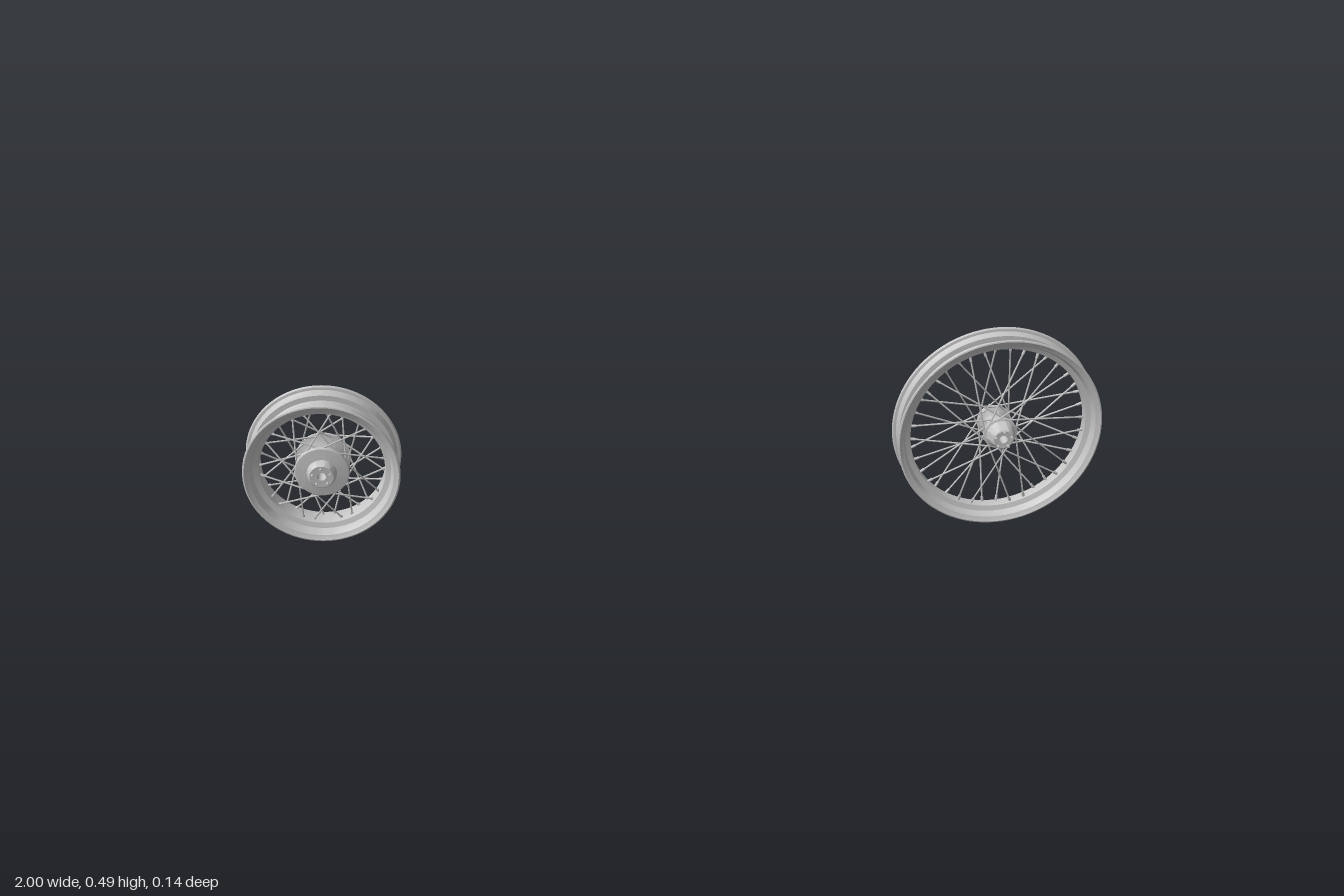
import * as THREE from 'three';
import { toCreasedNormals } from 'three/addons/utils/BufferGeometryUtils.js';

const metal = new THREE.MeshStandardMaterial({ color: 0xc6c6c6 });
metal.name = 'light grey metal';

// Turned part about the z axis; points are [radius, z] with z rising on the outside
function turned(name, points, segments = 96) {
  const g = new THREE.LatheGeometry(points.map(p => new THREE.Vector2(p[0], p[1])), segments);
  g.rotateX(Math.PI / 2);
  const mesh = new THREE.Mesh(toCreasedNormals(g, 0.6), metal);
  mesh.name = name;
  return mesh;
}

// Round bar between two points
function rod(name, a, b, radius, sides = 6) {
  const dir = b.clone().sub(a);
  const mesh = new THREE.Mesh(new THREE.CylinderGeometry(radius, radius, dir.length(), sides), metal);
  mesh.position.copy(a).add(b).multiplyScalar(0.5);
  mesh.quaternion.setFromUnitVectors(new THREE.Vector3(0, 1, 0), dir.normalize());
  mesh.name = name;
  return mesh;
}

const polar = (r, a, z) => new THREE.Vector3(r * Math.cos(a), r * Math.sin(a), z);

// Drop-centre rim with a rolled lip on each edge
function rim(R, w, well) {
  const half = [
    [R - 0.029, well], [R - 0.026, well + 0.003], [R - 0.014, well + 0.004],
    [R - 0.012, w - 0.012], [R - 0.009, w - 0.008], [R - 0.003, w - 0.007],
    [R, w - 0.004], [R - 0.001, w - 0.001], [R - 0.004, w],
    [R - 0.007, w - 0.002], [R - 0.015, w - 0.005], [R - 0.019, w - 0.011],
    [R - 0.022, well + 0.006], [R - 0.034, well + 0.002], [R - 0.036, well - 0.004],
  ];
  const back = half.map(([r, z]) => [r, -z]).reverse();
  return turned('rim', [...back, ...half, back[0]], 128);
}

function wheel(o) {
  const g = new THREE.Group();
  g.add(rim(o.R, o.w, o.well));
  g.add(turned('hub', o.hub, 48));

  // Crossed spokes: two leaning directions on each flange, each with a nipple
  const spokes = new THREE.Group();
  spokes.name = 'spokes';
  const n = 10, step = Math.PI * 2 / n;
  for (const side of [1, -1]) {
    for (const lean of [1, -1]) {
      for (let i = 0; i < n; i++) {
        const end = (i + (side > 0 ? 0 : 0.5) + lean * 0.125) * step;
        const a = polar(o.flange, end + lean * o.sweep, side * (o.flangeZ + lean * 0.003));
        const b = polar(o.R - 0.032, end, side * o.well * 0.5);
        spokes.add(rod('spoke', a, b, 0.0021));
        spokes.add(rod('nipple', b.clone().lerp(a, 0.08), b, 0.0034));
      }
    }
  }
  g.add(spokes);

  // Ring of bolts on both hub ends
  const bolts = new THREE.Group();
  bolts.name = 'hubBolts';
  for (const [z0, z1] of o.bolts) {
    for (let i = 0; i < 5; i++) {
      const a = Math.PI / 2 + i * Math.PI * 2 / 5;
      bolts.add(rod('hubBolt', polar(o.boltR, a, z0), polar(o.boltR, a, z1), 0.003, 8));
    }
  }
  g.add(bolts);
  return g;
}

export function createModel() {
  const model = new THREE.Group();

  // Tall narrow wheel on the left
  const large = wheel({
    R: 0.245, w: 0.038, well: 0.011,
    flange: 0.036, flangeZ: 0.031, sweep: 1.25,
    hub: [
      [0.010, -0.054], [0.010, -0.064], [0.022, -0.065], [0.025, -0.063],
      [0.032, -0.040], [0.034, -0.036], [0.040, -0.034], [0.040, -0.028],
      [0.030, -0.025], [0.022, -0.018], [0.022, 0.018], [0.030, 0.025],
      [0.040, 0.028], [0.040, 0.034], [0.034, 0.036], [0.032, 0.040],
      [0.025, 0.063], [0.022, 0.065], [0.010, 0.064], [0.010, 0.054],
      [0.010, -0.054],
    ],
    boltR: 0.020, bolts: [[0.062, 0.072], [-0.072, -0.062]],
  });
  large.name = 'largeWheel';
  large.position.set(0.755, 0.246, -0.001);

  // Short wide wheel on the right
  const small = wheel({
    R: 0.177, w: 0.053, well: 0.022,
    flange: 0.056, flangeZ: 0.034, sweep: 1.0,
    hub: [
      [0.010, -0.045], [0.010, -0.055], [0.024, -0.056], [0.028, -0.053],
      [0.034, -0.042], [0.060, -0.039], [0.062, -0.037], [0.062, -0.031],
      [0.045, -0.028], [0.030, -0.018], [0.030, 0.018], [0.045, 0.028],
      [0.062, 0.031], [0.062, 0.037], [0.060, 0.039], [0.034, 0.042],
      [0.030, 0.057], [0.027, 0.060], [0.010, 0.059], [0.010, 0.045],
      [0.010, -0.045],
    ],
    boltR: 0.021, bolts: [[0.057, 0.069]],
  });
  small.name = 'smallWheel';
  small.position.set(-0.823, 0.245, -0.001);

  model.add(large, small);
  return model;
}
